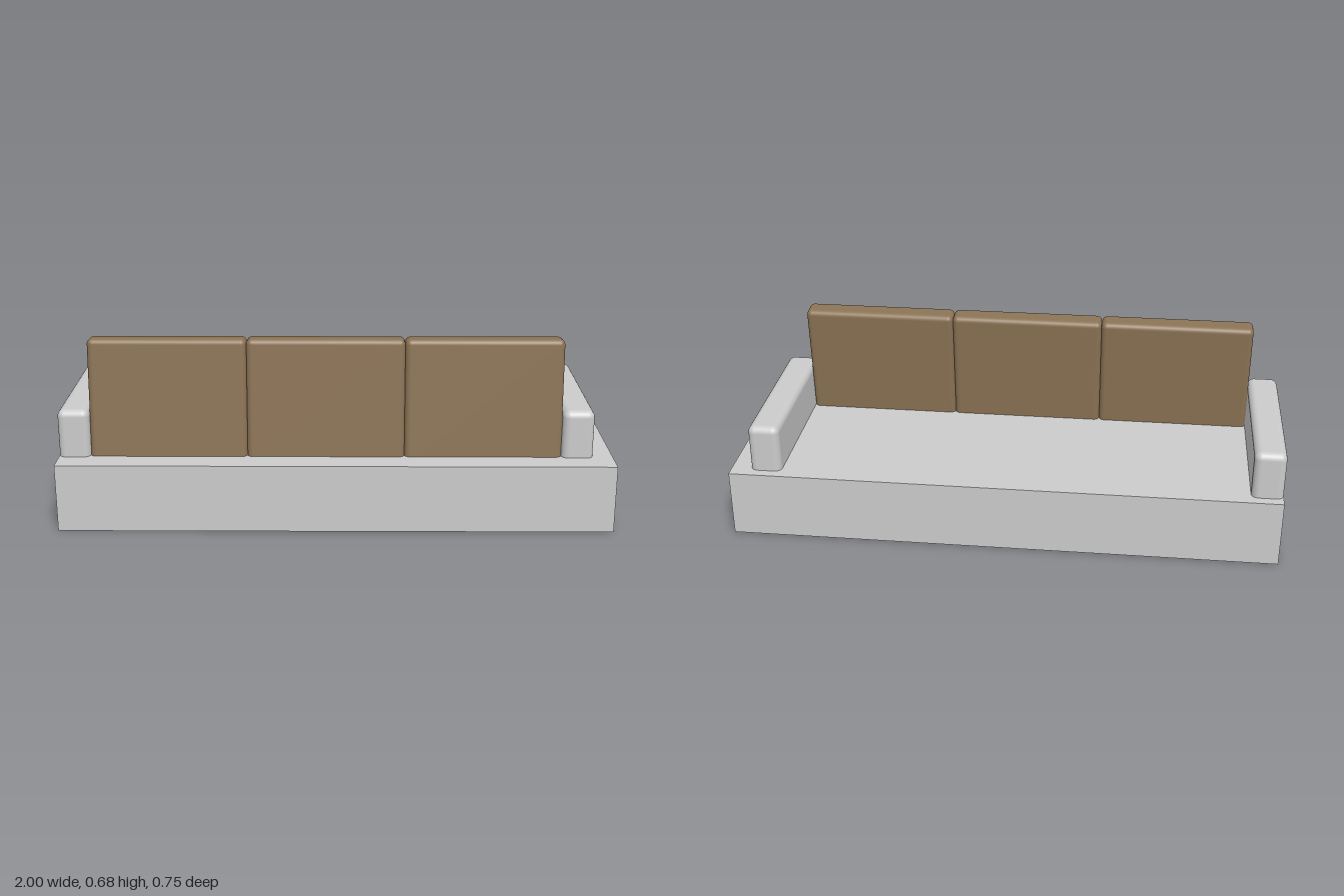
import * as THREE from 'three';
import { RoundedBoxGeometry } from 'three/addons/geometries/RoundedBoxGeometry.js';

export function createModel() {
  const sofa = new THREE.Group();
  sofa.name = 'sofa';
  const grey = new THREE.MeshStandardMaterial({ color: 0xcccccc });
  const brown = new THREE.MeshStandardMaterial({ color: 0x8b7355 });

  function add(name, geometry, material, x, y, z) {
    const mesh = new THREE.Mesh(geometry, material);
    mesh.name = name;
    mesh.position.set(x, y, z);
    sofa.add(mesh);
    return mesh;
  }

  // Solid base block
  add('base', new THREE.BoxGeometry(2, 0.25, 0.75), grey, 0, 0.125, 0);

  // Armrests, sunk slightly into the base; the row sits off-centre on it
  const rowCentre = -0.036;
  const armGeometry = new RoundedBoxGeometry(0.114, 0.225, 0.624, 5, 0.026);
  for (const side of [-1, 1]) {
    add(side < 0 ? 'rightArm' : 'leftArm', armGeometry, grey,
      rowCentre + side * 0.907, 0.3125, -0.027);
  }

  // Three leaning cushions between the arms
  const cushionWidth = 0.567;
  const cushionGeometry = new RoundedBoxGeometry(cushionWidth, 0.47, 0.083, 5, 0.02);
  for (let i = -1; i <= 1; i++) {
    const cushion = add('backCushion' + (i + 2), cushionGeometry, brown,
      rowCentre + i * cushionWidth, 0.441, 0.219);
    cushion.rotation.x = -0.083;
  }

  return sofa;
}
